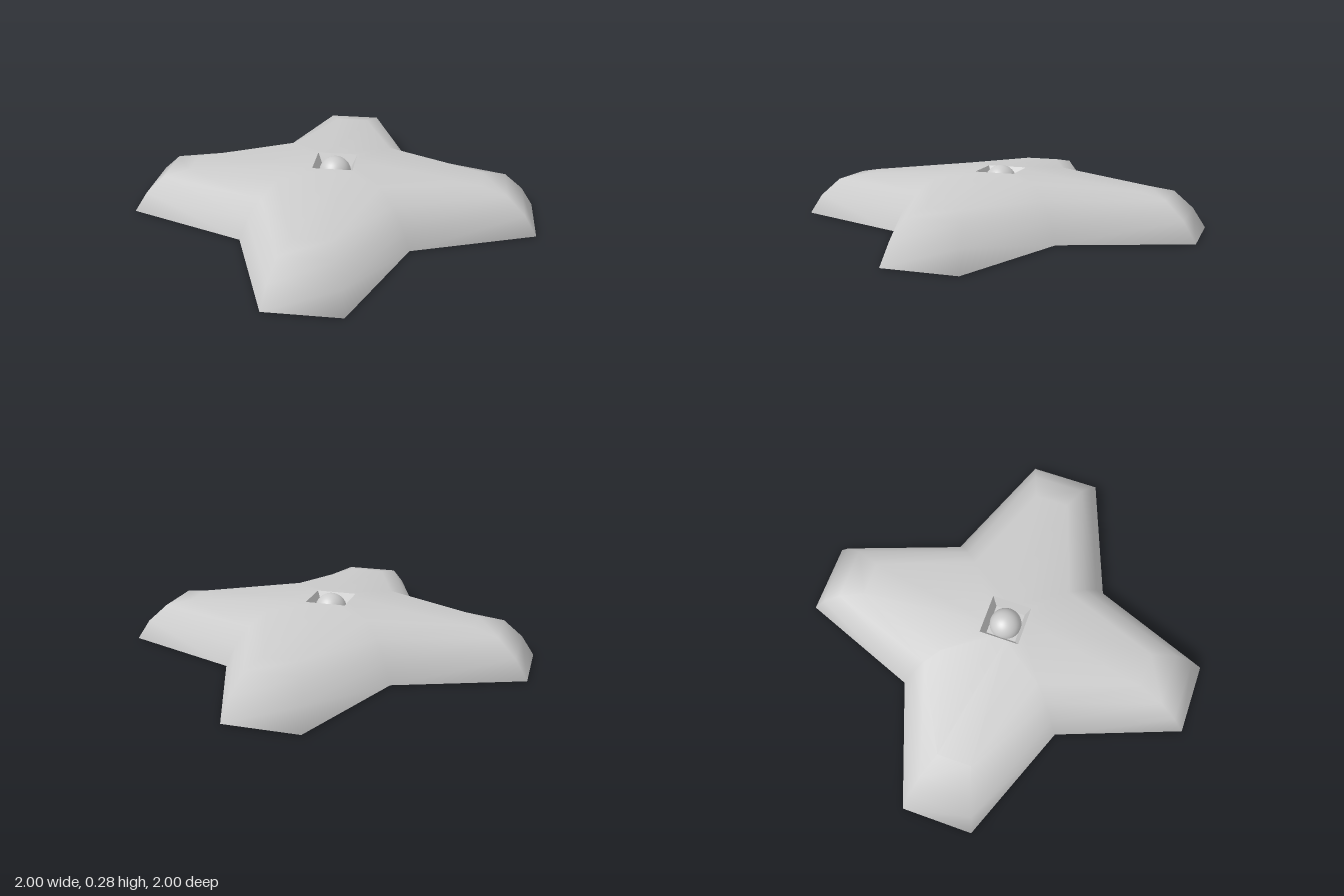
import * as THREE from 'three';

// Four-armed star ring: tip distance, tip half width, inner corner coordinate, height
function starRing([tip, half, corner, y]) {
  const ring = [];
  for (let k = 0; k < 4; k++) {
    const s = Math.sin(k * Math.PI / 2), c = Math.cos(k * Math.PI / 2);
    for (const [side, out] of [[-half, tip], [half, tip], [corner, corner]]) {
      ring.push([s * out + c * side, y, c * out - s * side]);
    }
  }
  return ring;
}

// Skin between successive rings, with shared vertices for smooth shading
function loft(rings) {
  const n = rings[0].length, index = [];
  for (let r = 0; r < rings.length - 1; r++) {
    for (let j = 0; j < n; j++) {
      const a = r * n + j, b = r * n + (j + 1) % n;
      // mirror the diagonals so both flanks of each arm match
      if (j % 3 === 1) index.push(a, b, a + n, b, b + n, a + n);
      else index.push(a, b, b + n, a, b + n, a + n);
    }
  }
  const geometry = new THREE.BufferGeometry();
  geometry.setAttribute('position', new THREE.Float32BufferAttribute(rings.flat(2), 3));
  geometry.setIndex(index);
  geometry.computeVertexNormals();
  return geometry;
}

export function createModel() {
  const group = new THREE.Group();
  const material = new THREE.MeshStandardMaterial({ color: 0xcccccc });
  const add = (name, geometry) => {
    const mesh = new THREE.Mesh(geometry, material);
    mesh.name = name;
    group.add(mesh);
    return mesh;
  };

  // Rounded star shell, from the lower rim up to the edge of the central socket
  const pitTop = 0.1, pitFloor = 0.075, pitY = 0.262, floorY = 0.205;
  const profile = [
    [0.98, 0.165, 0.393, 0],
    [1, 0.177, 0.405, 0.003],
    [0.94, 0.16, 0.37, 0.1],
    [0.85, 0.13, 0.315, 0.185],
    [0.73, 0.085, 0.25, 0.21],
    [pitTop, 0.035, pitTop, pitY],
  ];
  // the inner corners of the last shell ring sit higher than the arm tips
  const rings = profile.map(starRing);
  for (let j = 2; j < 12; j += 3) rings[4][j][1] = 0.247;
  add('shell', loft(rings));

  // Flat underside
  const outline = starRing(profile[0]).map(([x, , z]) => new THREE.Vector2(x, z));
  const base = new THREE.ShapeGeometry(new THREE.Shape(outline));
  base.rotateX(Math.PI / 2);
  add('underside', base);

  // Sloped square socket walls and floor
  const walls = loft([
    starRing([pitTop, 0.035, pitTop, pitY]),
    starRing([pitFloor, 0.025, pitFloor, floorY]),
  ]).toNonIndexed();
  walls.computeVertexNormals();
  add('socketWalls', walls);
  const floor = new THREE.PlaneGeometry(pitFloor * 2, pitFloor * 2);
  floor.rotateX(-Math.PI / 2);
  add('socketFloor', floor).position.y = floorY;

  // Ball resting in the socket
  add('ball', new THREE.SphereGeometry(0.08, 32, 20)).position.y = 0.205;

  return group;
}
